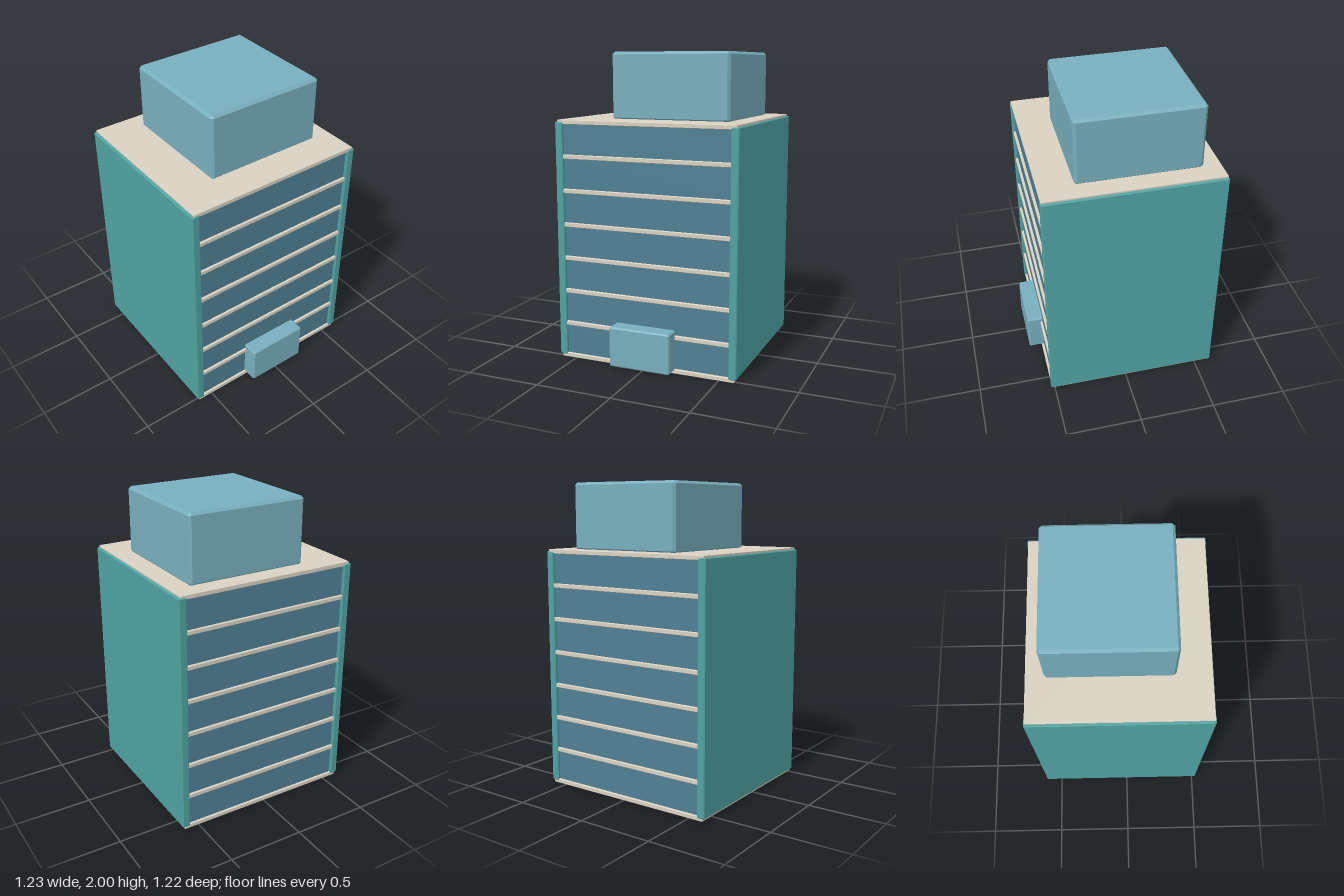
import * as THREE from 'three';
import { ConvexGeometry } from 'three/addons/geometries/ConvexGeometry.js';

const material = (color) => new THREE.MeshStandardMaterial({ color, flatShading: true });

// Box between two corners with all twelve edges chamfered by c
function chamferBox(min, max, c) {
  const points = [];
  for (const sx of [0, 1]) for (const sy of [0, 1]) for (const sz of [0, 1]) {
    const s = [sx, sy, sz];
    // each corner becomes three points, one on every adjoining face
    for (let face = 0; face < 3; face++) {
      const p = s.map((side, i) => {
        const inset = i === face ? 0 : c;
        return side ? max[i] - inset : min[i] + inset;
      });
      points.push(new THREE.Vector3(...p));
    }
  }
  return new ConvexGeometry(points);
}

export function createModel() {
  const group = new THREE.Group();
  const teal = material(0x4fa3a2);
  const concrete = material(0xd9d2c2);
  const glass = material(0x4f8094);
  const paleBlue = material(0x78afbe);

  const add = (name, min, max, chamfer, mat) => {
    const mesh = new THREE.Mesh(chamferBox(min, max, chamfer), mat);
    mesh.name = name;
    group.add(mesh);
  };

  // Floor slabs, ground to roof
  const floors = 7, pitch = 0.221, thickness = 0.028;
  for (let i = 0; i <= floors; i++) {
    const y = i * pitch;
    add(i === floors ? 'roofSlab' : 'floorSlab',
      [-0.6, y, -0.605], [0.6, y + thickness, 0.52], 0.003, concrete);
  }

  // Glazed storeys, slightly recessed between the slabs
  for (let i = 0; i < floors; i++) {
    const y = i * pitch;
    add('glassStorey', [-0.58, y + thickness - 0.004, -0.59],
      [0.58, y + pitch + 0.004, 0.505], 0.003, glass);
  }

  // Side walls
  for (const side of [-1, 1]) {
    const x = side * 0.589;
    add(side > 0 ? 'leftWall' : 'rightWall',
      [x - 0.026, 0.017, -0.61], [x + 0.026, 1.561, 0.525], 0.006, teal);
  }

  // Entrance block and rooftop block
  add('entrance', [-0.208, 0.018, 0.4], [0.206, 0.28, 0.608], 0.009, paleBlue);
  add('rooftopBlock', [-0.32, 1.565, -0.492], [0.477, 2, 0.3], 0.017, paleBlue);

  return group;
}
